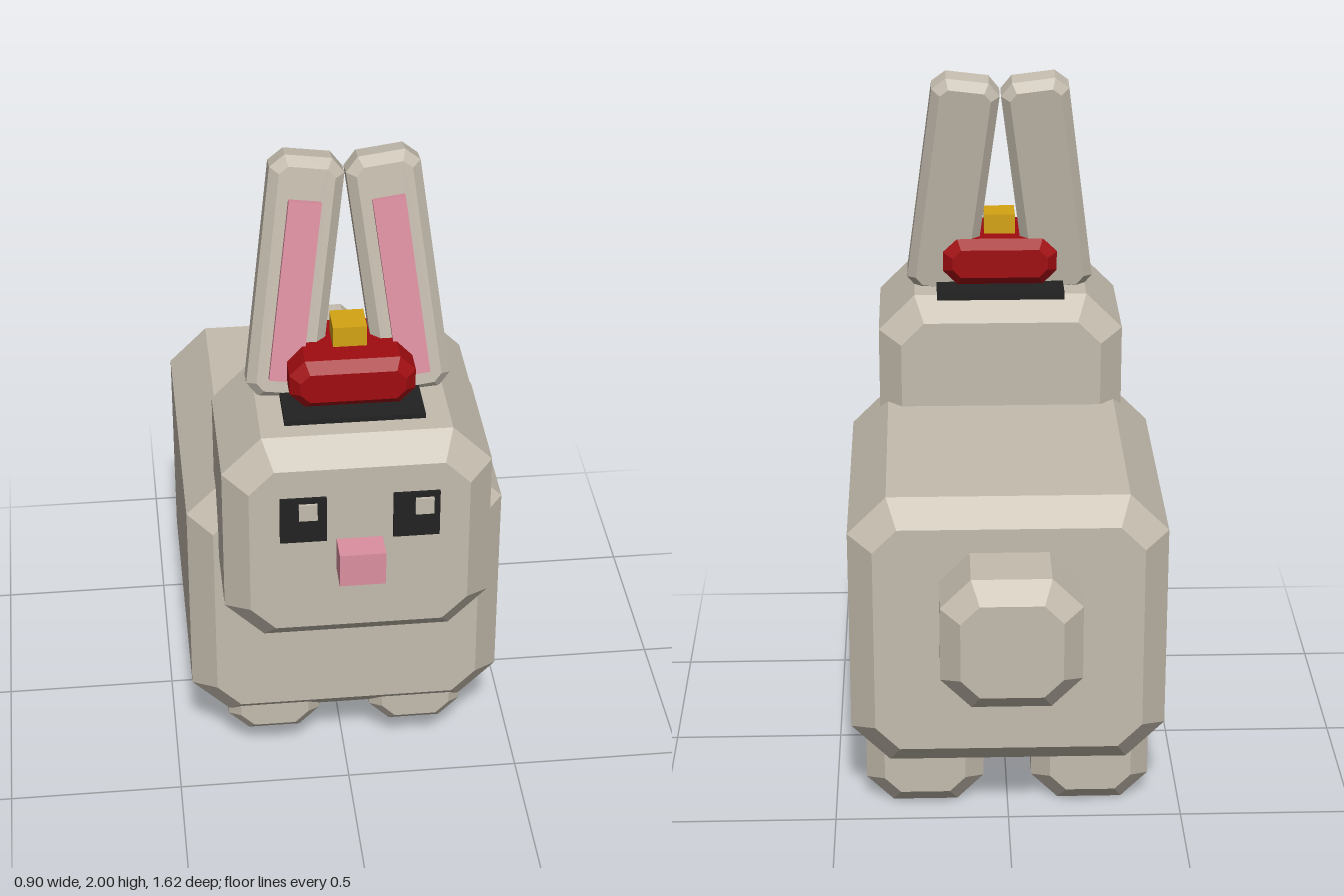
import * as THREE from 'three';

const mat = (name, color) => {
  const m = new THREE.MeshStandardMaterial({ color });
  m.name = name;
  return m;
};

// Octagonal outline with corner cut c, extruded along z with a one-step bevel b.
function chamferedBox(w, h, d, c, b) {
  const x = w / 2, y = h / 2;
  const outline = new THREE.Shape([
    [x, -y + c], [x, y - c], [x - c, y], [-x + c, y],
    [-x, y - c], [-x, -y + c], [-x + c, -y], [x - c, -y],
  ].map(([px, py]) => new THREE.Vector2(px, py)));
  const geo = new THREE.ExtrudeGeometry(outline, {
    depth: d - 2 * b, bevelEnabled: true, bevelSegments: 1,
    bevelThickness: b, bevelSize: b, bevelOffset: -b,
  });
  return geo.translate(0, 0, -(d - 2 * b) / 2);
}

export function createModel() {
  const model = new THREE.Group();
  model.name = 'rabbit';
  const fur = mat('fur', 0xc4bcae);
  const black = mat('black', 0x222222);
  const pink = mat('pink', 0xdc8fa0);
  const red = mat('red', 0xa00c10);
  const gold = mat('gold', 0xd4a414);

  const add = (name, geo, material, parent = model) => {
    const mesh = new THREE.Mesh(geo, material);
    mesh.name = name;
    parent.add(mesh);
    return mesh;
  };
  // Parts are given by their extents on each axis.
  const mid = (r) => (r[0] + r[1]) / 2;
  const len = (r) => r[1] - r[0];
  const block = (name, m, x, y, z) =>
    add(name, new THREE.BoxGeometry(len(x), len(y), len(z)), m).position.set(mid(x), mid(y), mid(z));
  const chamfered = (name, m, x, y, z, c, b) =>
    add(name, chamferedBox(len(x), len(y), len(z), c, b), m).position.set(mid(x), mid(y), mid(z));

  // Body, head and tail
  chamfered('body', fur, [-0.45, 0.45], [0.175, 1.0], [-0.53, 0.435], 0.11, 0.07);
  chamfered('head', fur, [-0.365, 0.365], [0.68, 1.33], [0.215, 0.73], 0.108, 0.067);
  chamfered('tail', fur, [-0.195, 0.195], [0.5, 0.885], [-0.81, -0.53], 0.085, 0.055);

  // Face
  block('nose', pink, [-0.0625, 0.0625], [0.937, 1.037], [0.72, 0.81]);
  for (const [side, x, glintX] of [['left', 0.153, 0.174], ['right', -0.153, -0.14]]) {
    block(side + 'Eye', black, [x - 0.063, x + 0.063], [1.038, 1.178], [0.729, 0.738]);
    block(side + 'EyeGlint', fur, [glintX - 0.025, glintX + 0.025], [1.112, 1.162], [0.737, 0.746]);
  }

  // Hat
  block('hatBrim', black, [-0.19, 0.19], [1.32, 1.345], [0.26, 0.61]);
  chamfered('hatCrown', red, [-0.17, 0.17], [1.345, 1.487], [0.308, 0.572], 0.042, 0.028);
  block('hatKnob', gold, [-0.046, 0.046], [1.455, 1.546], [0.385, 0.478]);

  for (const [side, s] of [['left', 1], ['right', -1]]) {
    // Feet
    chamfered(side + 'HindFoot', fur, [s * 0.24 - 0.17, s * 0.24 + 0.17], [0, 0.32], [-0.44, 0.075], 0.077, 0.053);
    chamfered(side + 'FrontPaw', fur, [s * 0.21 - 0.135, s * 0.21 + 0.135], [0.1, 0.3], [0.205, 0.4], 0.06, 0.035);

    // Ear leaning back and inward, with a raised lining
    const ear = new THREE.Group();
    ear.name = side + 'Ear';
    add(side + 'EarShell', chamferedBox(0.2, 0.69, 0.11, 0.037, 0.025), fur, ear);
    add(side + 'EarLining', new THREE.BoxGeometry(0.088, 0.51, 0.03), pink, ear).position.set(0, -0.024, 0.06);
    ear.position.set(s * 0.14, 1.65, 0.365);
    ear.rotation.set(-0.157, 0, s * 0.127);
    model.add(ear);
  }
  return model;
}
